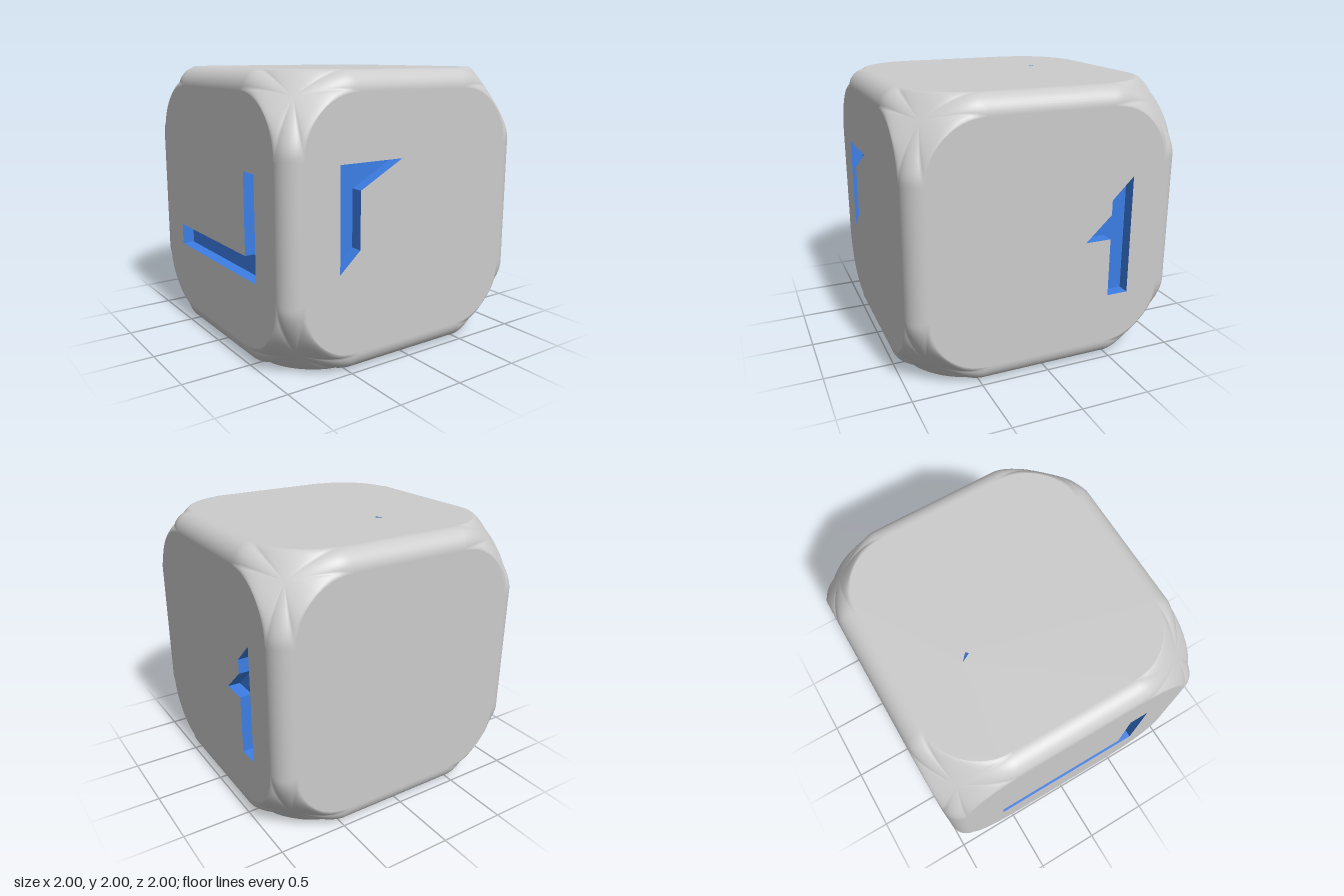
import * as THREE from 'three';

const FLAT = 0.865;   // half width of each flat face
const SET = 0.46;     // where the edge fillets end and corner blends begin
const R = 1 - FLAT;   // edge fillet radius
const APEX = 0.84;    // corner blend midpoint, on the diagonal
const DEPTH = 0.09;   // engraving depth
const Q = Math.PI / 2;

const grey = new THREE.MeshStandardMaterial({ color: 0xcccccc });
const blue = new THREE.MeshStandardMaterial({ color: 0x3c7ee5 });

function addMesh(parent, name, geometry, material) {
  const mesh = new THREE.Mesh(geometry, material);
  mesh.name = name;
  parent.add(mesh);
  return mesh;
}

// Flat face with rounded outline, cut by the engraved mark
function faceShape() {
  const s = new THREE.Shape();
  const r = FLAT - SET;
  s.absarc(SET, SET, r, 0, Q);
  s.absarc(-SET, SET, r, Q, 2 * Q);
  s.absarc(-SET, -SET, r, 2 * Q, 3 * Q);
  s.absarc(SET, -SET, r, 3 * Q, 4 * Q);
  s.closePath();
  return s;
}

// Side walls of an engraving, facing inward (counter-clockwise outline)
function wallGeometry(pts) {
  const pos = [];
  pts.forEach((a, i) => {
    const b = pts[(i + 1) % pts.length];
    pos.push(a.x, a.y, 0, b.x, b.y, 0, b.x, b.y, -DEPTH);
    pos.push(a.x, a.y, 0, b.x, b.y, -DEPTH, a.x, a.y, -DEPTH);
  });
  const g = new THREE.BufferGeometry();
  g.setAttribute('position', new THREE.Float32BufferAttribute(pos, 3));
  g.computeVertexNormals();
  return g;
}

function makeFace({ name, rot, mark }) {
  const face = new THREE.Group();
  face.name = name;
  const shape = faceShape();
  if (mark) {
    const pts = mark.map(([x, y]) => new THREE.Vector2(x, y));
    if (THREE.ShapeUtils.isClockWise(pts)) pts.reverse();
    shape.holes.push(new THREE.Path(pts));
    addMesh(face, name + 'EngravingWalls', wallGeometry(pts), blue).position.z = 1;
    addMesh(face, name + 'EngravingFloor', new THREE.ShapeGeometry(new THREE.Shape(pts)), blue)
      .position.z = 1 - DEPTH;
  }
  addMesh(face, name + 'Panel', new THREE.ShapeGeometry(shape, 16), grey).position.z = 1;
  face.rotation.set(...rot);
  return face;
}

// Corner blend: six-sided boundary drawn by curves to an apex on the diagonal
function cornerGeometry() {
  const N = 12, M = 10, loop = [];
  for (let k = 0; k < 3; k++) {
    const add = (x, y, z) => {
      const p = [x, y, z];
      loop.push(new THREE.Vector3(p[k % 3], p[(k + 1) % 3], p[(k + 2) % 3]));
    };
    for (let i = 0; i < N; i++) {        // rounded corner of a flat face
      const a = Q * i / N, r = FLAT - SET;
      add(1, SET + r * Math.cos(a), SET + r * Math.sin(a));
    }
    for (let i = 0; i < N; i++) {        // end of an edge fillet
      const a = Q * i / N;
      add(FLAT + R * Math.cos(a), SET, FLAT + R * Math.sin(a));
    }
  }
  const apex = new THREE.Vector3(APEX, APEX, APEX);
  const curves = loop.map(b => {
    const d = (3 * APEX - b.x - b.y - b.z) / (3 - b.x - b.y - b.z);
    const mid = b.clone().lerp(new THREE.Vector3(1, 1, 1), d);
    return new THREE.QuadraticBezierCurve3(b, mid, apex);
  });
  const pos = [], index = [], n = loop.length;
  for (let j = 0; j < M; j++) curves.forEach(c => pos.push(...c.getPoint(j / M).toArray()));
  pos.push(APEX, APEX, APEX);
  for (let j = 0; j < M; j++) {
    for (let i = 0; i < n; i++) {
      const a = j * n + i, b = j * n + (i + 1) % n;
      if (j === M - 1) index.push(b, a, M * n);
      else index.push(b, a, a + n, b, a + n, b + n);
    }
  }
  const g = new THREE.BufferGeometry();
  g.setAttribute('position', new THREE.Float32BufferAttribute(pos, 3));
  g.setIndex(index);
  g.computeVertexNormals();
  return g;
}

// Faces, each drawn facing +z and then turned into place
const FACES = [
  { name: 'frontFace', rot: [0, 0, 0],
    mark: [[-0.6, 0.42], [-0.1, 0.42], [-0.44, 0.24], [-0.44, -0.155], [-0.6, -0.295]] },
  { name: 'leftFace', rot: [0, Q, 0],
    mark: [[0.465, -0.5], [0.625, -0.5], [0.625, 0.37], [0.465, 0.215], [0.465, 0.11],
      [0.27, -0.07], [0.465, -0.07]] },
  { name: 'backFace', rot: [0, 2 * Q, 0] },
  { name: 'rightFace', rot: [0, -Q, 0],
    mark: [[-0.6, -0.39], [0.61, -0.39], [0.61, 0.345], [0.465, 0.345], [0.465, -0.23],
      [-0.6, -0.23]] },
  { name: 'topFace', rot: [-Q, 0, 0],
    mark: [[-0.205, 0.43], [-0.155, 0.385], [-0.17, 0.365]] },
  { name: 'bottomFace', rot: [Q, 0, 0],
    mark: [[-0.6, 0.19], [-0.6, 0.36], [0.51, 0.36], [0.34, 0.19], [0.11, 0.19],
      [0.11, -0.05], [-0.05, -0.19], [-0.05, 0.19]] },
];

export function createModel() {
  const model = new THREE.Group();
  model.name = 'die';
  const body = new THREE.Group();
  body.name = 'body';
  body.position.y = 1;
  model.add(body);

  FACES.forEach(f => body.add(makeFace(f)));

  // Twelve edge fillets: four along each axis
  const fillet = new THREE.CylinderGeometry(R, R, 2 * SET, 12, 1, true, 0, Q);
  fillet.translate(FLAT, 0, FLAT);
  [[0, 0, 0], [Q, 0, 0], [0, 0, Q]].forEach(rot => {
    const set = new THREE.Group();
    set.name = 'edgeFillets';
    set.rotation.set(...rot);
    for (let k = 0; k < 4; k++) addMesh(set, 'edgeFillet', fillet, grey).rotation.y = k * Q;
    body.add(set);
  });

  // Eight corner blends: four above, four below
  const corner = cornerGeometry();
  [0, Math.PI].forEach(flip => {
    const set = new THREE.Group();
    set.name = flip ? 'lowerCorners' : 'upperCorners';
    set.rotation.x = flip;
    for (let k = 0; k < 4; k++) addMesh(set, 'corner', corner, grey).rotation.y = k * Q;
    body.add(set);
  });
  return model;
}
